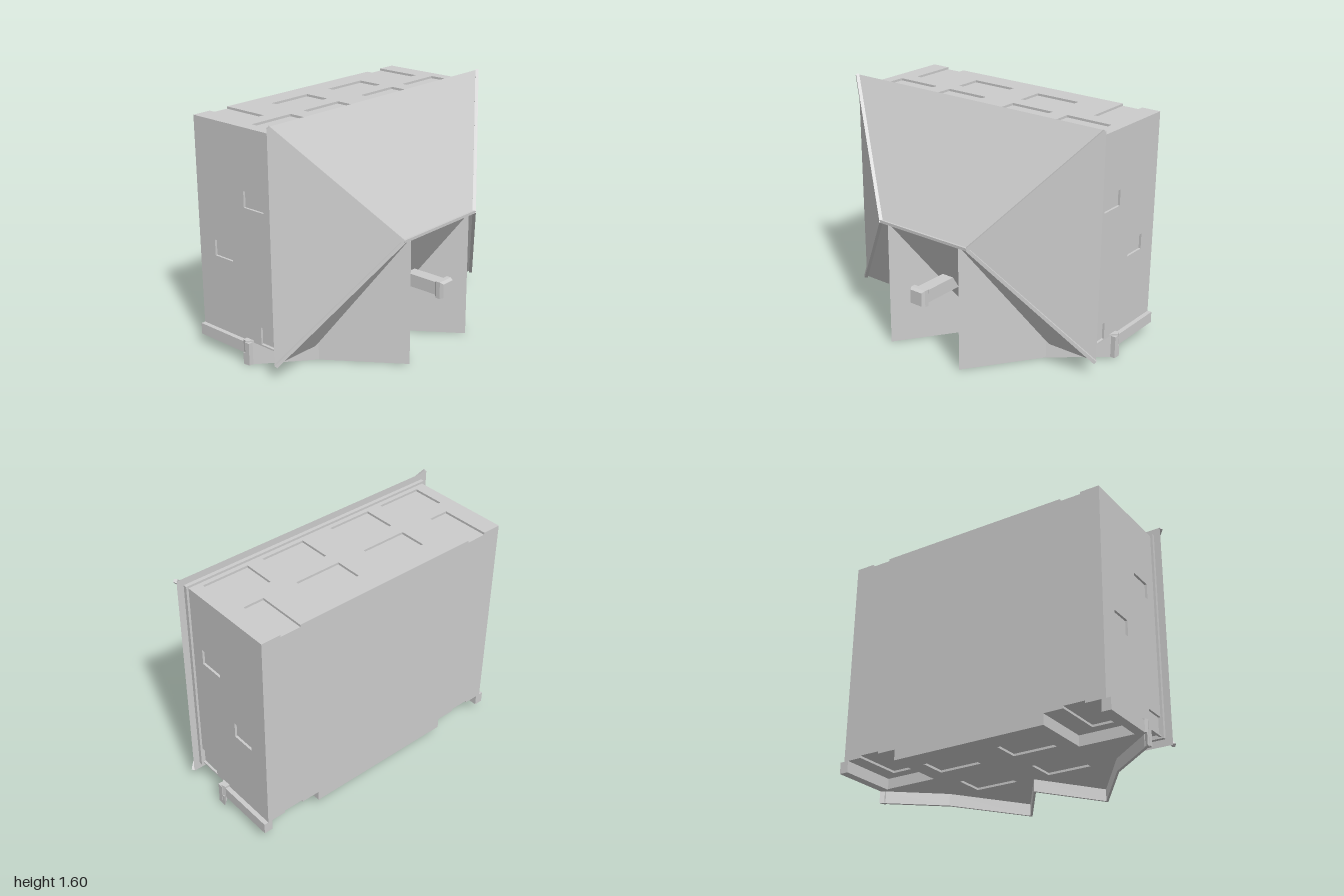
import * as THREE from 'three';
import { ConvexGeometry } from 'three/addons/geometries/ConvexGeometry.js';

const mat = new THREE.MeshStandardMaterial({ color: 0xcccccc, flatShading: true, side: THREE.DoubleSide });
const BACK = -0.63, EAVE = 0.075;

function add(parent, name, geometry) {
  const mesh = new THREE.Mesh(geometry, mat);
  mesh.name = name;
  parent.add(mesh);
  return mesh;
}

// Box given by its lower and upper limits
function box(parent, name, [x0, x1], [y0, y1], [z0, z1]) {
  const m = add(parent, name, new THREE.BoxGeometry(x1 - x0, y1 - y0, z1 - z0));
  m.position.set((x0 + x1) / 2, (y0 + y1) / 2, (z0 + z1) / 2);
  return m;
}

const toShape = (pts) => new THREE.Shape(pts.map(([a, b]) => new THREE.Vector2(a, b)));
const rect = (a0, a1, b0, b1) => [[a0, b0], [a1, b0], [a1, b1], [a0, b1]];
const mirrorX = (pts) => [...pts, ...pts.filter(([x]) => x !== 0).reverse().map(([x, z]) => [-x, z])];

function panel(pts, holes, depth) {
  const shape = toShape(pts);
  holes.forEach((h) => shape.holes.push(toShape(rect(...h))));
  return new THREE.ExtrudeGeometry(shape, { depth, bevelEnabled: false });
}

// Panel outlined in x and z, filling y0..y1
function slabXZ(parent, name, pts, [y0, y1], holes = []) {
  const m = add(parent, name, panel(pts, holes, y1 - y0));
  m.rotation.x = Math.PI / 2;
  m.position.y = y1;
  return m;
}

// Square trim beam between two points
function beam(parent, name, a, b, w) {
  const p = new THREE.Vector3(...a), q = new THREE.Vector3(...b);
  const m = add(parent, name, new THREE.BoxGeometry(w, w, p.distanceTo(q)));
  m.position.copy(p).add(q).multiplyScalar(0.5);
  m.lookAt(q);
}

export function createModel() {
  const house = new THREE.Group();
  house.name = 'house';
  const both = (list) => list.flatMap(([a, b, c, d]) => [[a, b, c, d], [-b, -a, c, d]]);

  // Solid core; wall panels around it carry the recessed windows
  box(house, 'core', [-0.915, 0.915], [0.165, 1.515], [BACK, EAVE]);

  // Upper wall with windows and two doors notched into its edge
  const door = [[0.8, BACK], [0.8, -0.3], [0.66, -0.3], [0.66, BACK]];
  const windows = both([[0.1, 0.42, -0.48, -0.3], [0.11, 0.42, -0.2, 0.02], [0.53, 0.85, -0.2, 0.02]]);
  const upper = mirrorX([[0.93, EAVE], [0.93, BACK], ...door]);
  slabXZ(house, 'upperWall', upper, [1.515, 1.53], windows);

  // Side walls, each with three windows
  const sideHoles = [[-0.21, -0.04, 1.03, 1.135], [-0.49, -0.33, 0.65, 0.755], [-0.1, 0.05, 0.16, 0.275]];
  for (const x of [0.93, -0.915]) {
    const m = add(house, 'sideWall', panel(rect(BACK, EAVE, 0.15, 1.53), sideHoles, 0.015));
    m.rotation.y = -Math.PI / 2;
    m.position.x = x;
  }

  // Gabled wall over the two corner porches
  const slope = [[0.97, -0.2], [0.62, 0.09], [0.29, 0.56], [0, 0.14]];
  const gableWall = mirrorX([[0.53, BACK], [0.53, -0.23], [0.96, -0.23], ...slope]);
  const gableHoles = both([[0.12, 0.42, -0.48, -0.3], [0.12, 0.42, -0.1, 0.1]]);
  slabXZ(house, 'gableWallFace', gableWall, [0.08, 0.095], gableHoles);
  slabXZ(house, 'gableWall', gableWall, [0.095, 0.165]);

  // Twin gable roofs running back into the main roof
  slabXZ(house, 'gableRoof', mirrorX([[0.62, 0], ...slope.slice(1)]), [0.165, 0.825]);

  // Overhanging gable rim, a thin folded strip
  const line = mirrorX(slope);
  const rim = [...line, ...line.map(([x, z]) => [x, z - 0.025]).reverse()];
  slabXZ(house, 'gableRim', rim, [0, 0.08]);

  // Corner porches: recessed wall, outer post and fascia
  for (const s of [1, -1]) {
    const span = (a, b) => (s > 0 ? [a, b] : [-b, -a]);
    const porch = [[0.53, -0.23], [0.93, -0.23], [0.93, BACK], ...door, [0.53, BACK]];
    slabXZ(house, 'porchWall', porch.map(([x, z]) => [s * x, z]), [0.15, 0.165]);
    box(house, 'porchPost', span(0.9, 0.96), [0.075, 0.15], [BACK, -0.23]);
    box(house, 'porchFascia', span(0.94, 0.972), [0.005, 0.155], [-0.205, -0.17]);
  }

  // Frieze under the eaves
  box(house, 'frieze', [-0.945, 0.945], [0.14, 1.545], [0.05, EAVE]);

  // Hipped main roof with trim on hips, ridge and eaves
  const corners = [[-0.99, 0.095], [0.99, 0.095], [0.99, 1.59], [-0.99, 1.59]];
  const ridge = [[-0.355, 0.84, 0.555], [0.355, 0.84, 0.555]];
  const base = corners.map(([x, y]) => [x, y, EAVE]);
  add(house, 'mainRoof', new ConvexGeometry([...base, ...ridge].map((p) => new THREE.Vector3(...p))));
  for (const [x, y] of corners) {
    beam(house, 'hipTrim', [x, y, 0.085], ridge[x > 0 ? 1 : 0], 0.022);
  }
  beam(house, 'ridgeTrim', ...ridge, 0.018);

  // Square chimney with a bevelled cap
  const chimney = new THREE.Group();
  chimney.name = 'chimney';
  box(chimney, 'chimneyShaft', [-0.043, 0.043], [0.392, 0.478], [0.24, 0.59]);
  const profile = [[0, 0.56], [0.045, 0.56], [0.056, 0.575], [0.056, 0.605], [0.046, 0.628], [0, 0.628]];
  const cap = add(chimney, 'chimneyCap', new THREE.LatheGeometry(
    profile.map(([r, h]) => new THREE.Vector2(r * Math.SQRT2, h)), 4, Math.PI / 4));
  cap.rotation.x = Math.PI / 2;
  cap.position.y = 0.435;
  house.add(chimney);

  return house;
}
